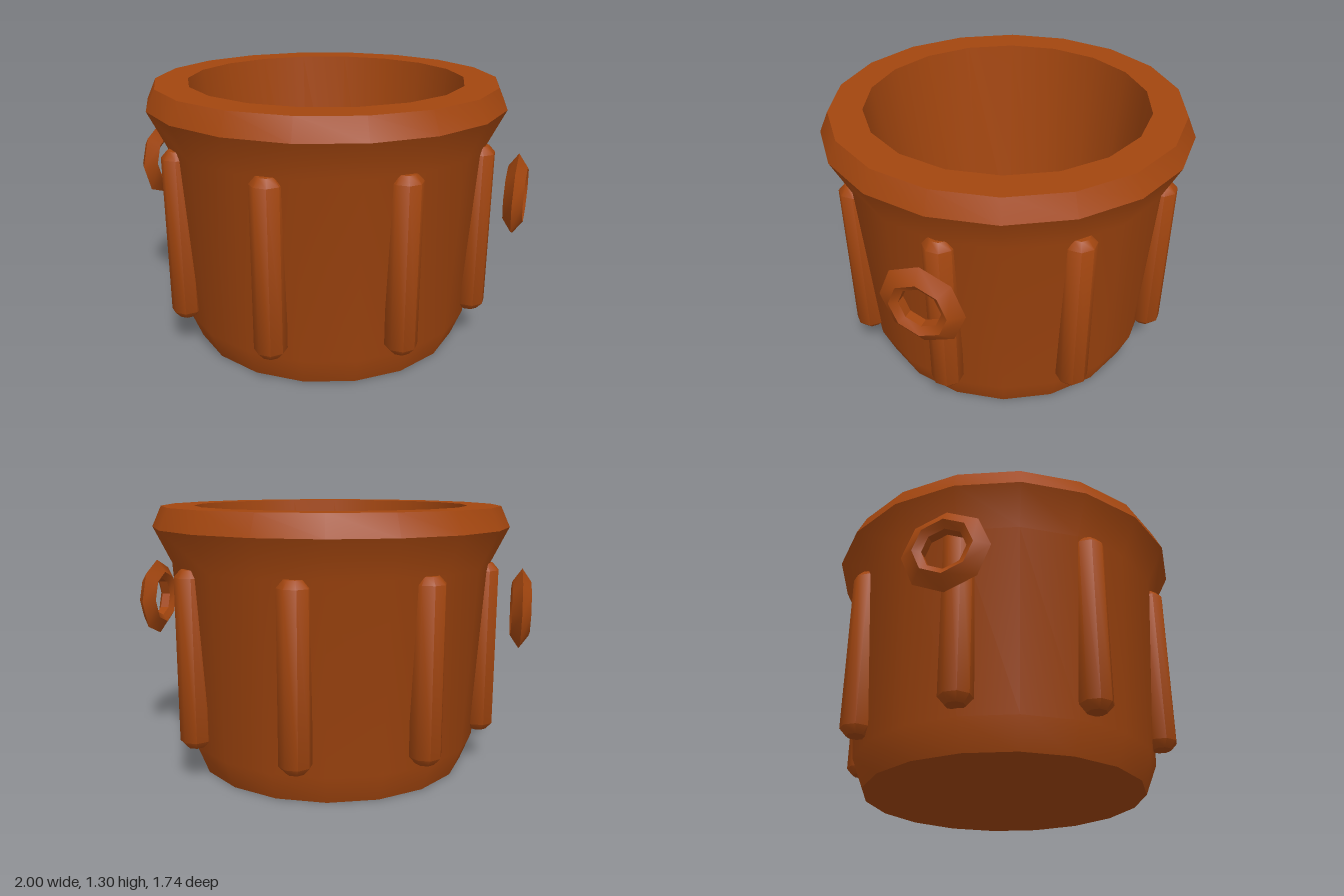
import * as THREE from 'three';
import { toCreasedNormals } from 'three/addons/utils/BufferGeometryUtils.js';

// Lathe from [radius, height] pairs, with edges sharper than the crease kept crisp
function turned(profile, sides, crease) {
  const points = profile.map(([r, y]) => new THREE.Vector2(r, y));
  return toCreasedNormals(new THREE.LatheGeometry(points, sides), crease);
}

export function createModel() {
  const model = new THREE.Group();
  model.name = 'pot';
  const clay = new THREE.MeshStandardMaterial({ color: 0xa3460f });
  clay.name = 'burnt orange clay';

  const add = (name, geometry) => {
    const mesh = new THREE.Mesh(geometry, clay);
    mesh.name = name;
    model.add(mesh);
    return mesh;
  };

  // Hollow body: foot, flared wall, bevelled rim, tapering inside and floor
  const body = add('body', turned([
    [0, 0], [0.685, 0], [0.74, 0.14], [0.797, 1.02], [0.885, 1.2],
    [0.84, 1.3], [0.68, 1.3], [0.57, 0.14], [0, 0.14],
  ], 18, 0.6));
  body.rotation.y = Math.PI / 18;

  // Eight upright ribs with bevelled ends, sunk into the wall
  const rib = turned([
    [0, 0.175], [0.045, 0.175], [0.076, 0.21],
    [0.076, 0.99], [0.045, 1.025], [0, 1.025],
  ], 8, 0.83);
  for (let i = 0; i < 8; i++) {
    const angle = (i * Math.PI) / 4;
    const mesh = add('rib', rib);
    mesh.position.set(0.77 * Math.sin(angle), 0, 0.77 * Math.cos(angle));
    mesh.rotation.y = angle + Math.PI / 8;
  }

  // Octagonal ring floating on each side
  const ring = turned([
    [0.1, -0.022], [0.135, -0.045], [0.2, 0],
    [0.135, 0.045], [0.1, 0.022], [0.1, -0.022],
  ], 8, 0.5);
  for (const side of [1, -1]) {
    const mesh = add(side > 0 ? 'leftRing' : 'rightRing', ring);
    mesh.position.set(side * 0.955, 0.8, 0);
    mesh.rotation.z = Math.PI / 2;
  }

  return model;
}
